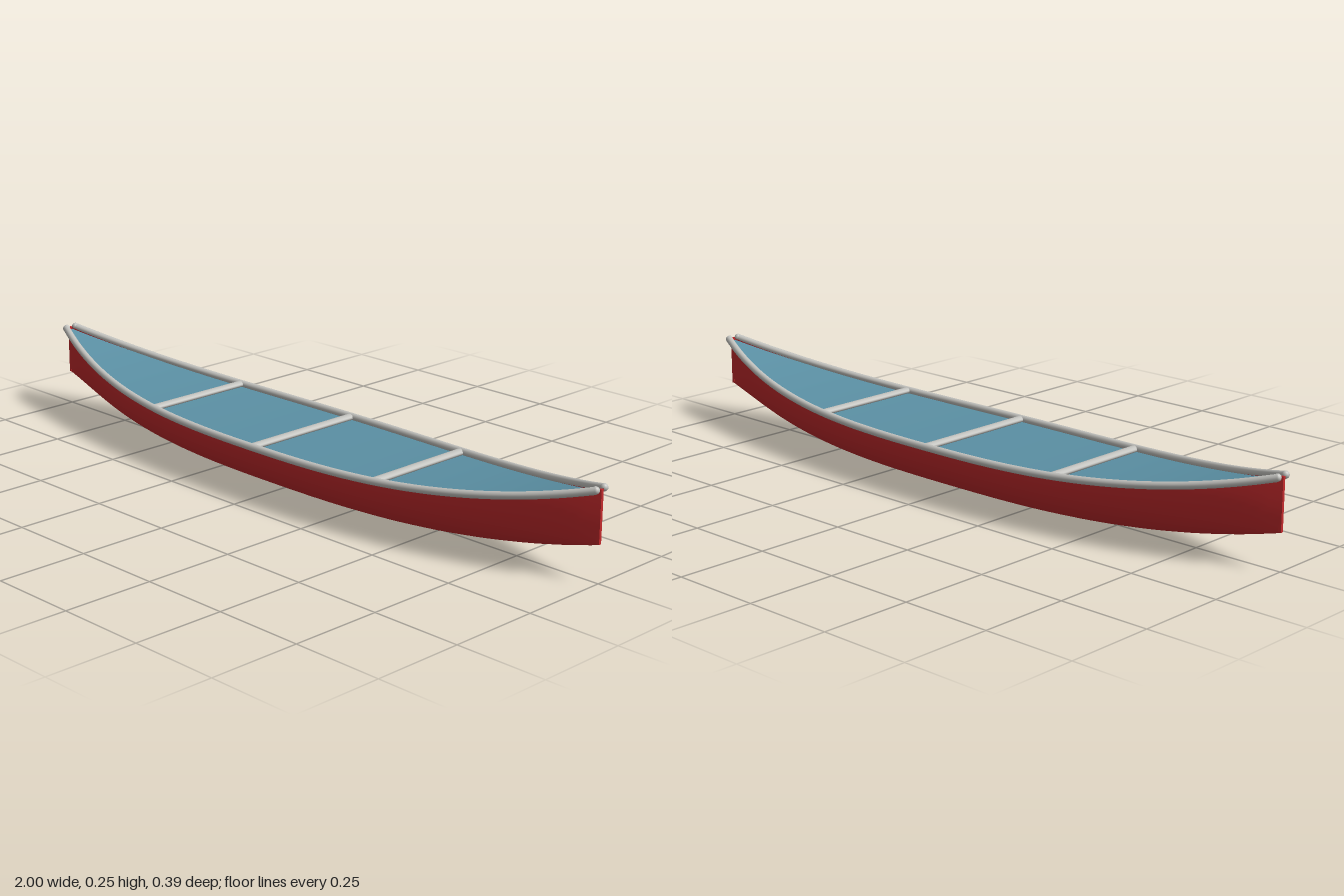
import * as THREE from 'three';

const red = new THREE.MeshStandardMaterial({ color: 0xc42a2c, side: THREE.DoubleSide });
red.name = 'hull red';
const blue = new THREE.MeshStandardMaterial({ color: 0x5b90a4, side: THREE.DoubleSide });
blue.name = 'interior blue';
const grey = new THREE.MeshStandardMaterial({ color: 0xc2c2be });
grey.name = 'trim grey';

// Lines of the boat as functions of the distance along it
const taper = x => 1 - Math.min(1, Math.abs(x)) ** 2.4;
const halfWidth = x => 0.004 + 0.181 * taper(x);
const sheer = x => 0.145 + 0.095 * Math.abs(x) ** 3;
const keel = x => 0.002 + 0.098 * Math.abs(x) ** 3;
const railZ = x => 0.014 + 0.173 * taper(x);

// Grid surface from point(x, v), x along the boat and v from left to right
function loft(point, nx, nv, flip) {
  const positions = [], index = [];
  for (let i = 0; i <= nx; i++) {
    for (let j = 0; j <= nv; j++) positions.push(...point(-1 + (2 * i) / nx, j / nv));
  }
  for (let i = 0; i < nx; i++) {
    for (let j = 0; j < nv; j++) {
      const a = i * (nv + 1) + j, c = a + 1, b = a + nv + 1, d = b + 1;
      if (flip) index.push(a, c, b, b, c, d);
      else index.push(a, b, c, b, d, c);
    }
  }
  const geometry = new THREE.BufferGeometry();
  geometry.setAttribute('position', new THREE.Float32BufferAttribute(positions, 3));
  geometry.setIndex(index);
  geometry.computeVertexNormals();
  return geometry;
}

export function createModel() {
  const group = new THREE.Group();
  group.name = 'canoe';
  const add = (name, geometry, material) => {
    const mesh = new THREE.Mesh(geometry, material);
    mesh.name = name;
    group.add(mesh);
    return mesh;
  };

  // Rounded hull with rising ends
  add('hull', loft((x, v) => {
    const c = Math.cos(v * Math.PI), s = Math.sin(v * Math.PI);
    const z = Math.sign(c) * Math.abs(c) ** 0.92 * halfWidth(x);
    return [x, sheer(x) - (sheer(x) - keel(x)) * Math.abs(s) ** 0.92, z];
  }, 64, 32, true), red);

  // Interior surface between the gunwales
  add('interior', loft((x, v) => [x * 0.995, sheer(x) - 0.007, (1 - 2 * v) * halfWidth(x)], 64, 2, false), blue);

  for (const side of [1, -1]) {
    // Gunwale rail with closed ends
    const points = [];
    for (let i = 0; i <= 32; i++) {
      const x = -0.995 + (1.99 * i) / 32;
      points.push(new THREE.Vector3(x, sheer(x), side * railZ(x)));
    }
    const label = side > 0 ? 'left' : 'right';
    add(label + 'Gunwale', new THREE.TubeGeometry(new THREE.CatmullRomCurve3(points), 80, 0.01, 12), grey);
    for (const p of [points[0], points[32]]) {
      add(label + 'GunwaleEnd', new THREE.SphereGeometry(0.01, 12, 8), grey).position.copy(p).setX(Math.sign(p.x) * 0.992);
    }

    // Narrow stem closing each end of the hull
    const stem = add(side > 0 ? 'leftStem' : 'rightStem', new THREE.BoxGeometry(0.008, 0.138, 0.008), red);
    stem.position.set(side * 0.996, 0.17, 0);
  }

  // Three crossbars
  for (const x of [-0.42, 0, 0.42]) {
    const bar = add('thwart', new THREE.CylinderGeometry(0.014, 0.014, 2 * railZ(x), 16), grey);
    bar.rotation.x = Math.PI / 2;
    bar.scale.z = 0.6;
    bar.position.set(x, sheer(x), 0);
  }
  return group;
}
